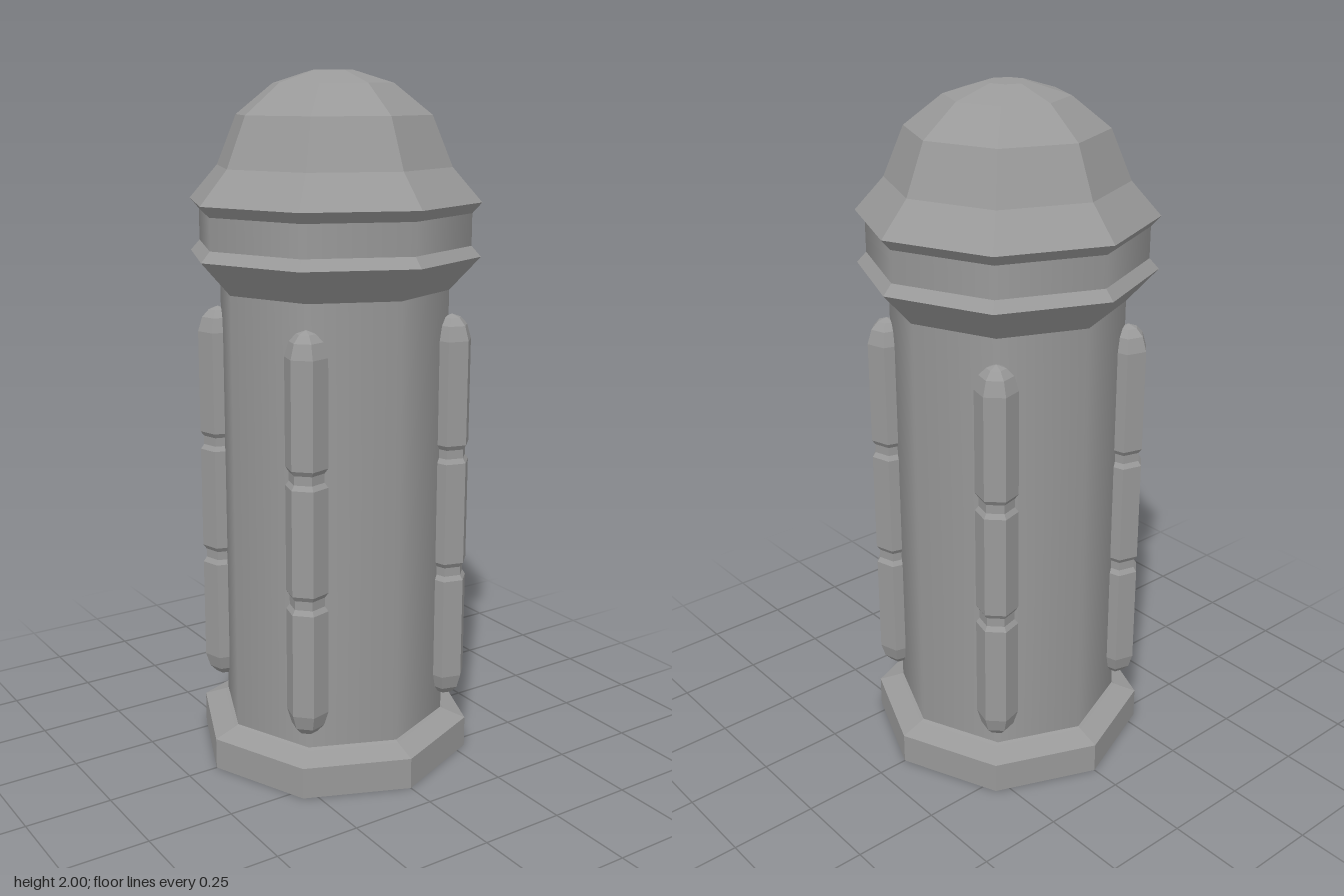
import * as THREE from 'three';

const SIDES = 8;
const GREY = 0x999999;
const flat = new THREE.MeshStandardMaterial({ color: GREY, flatShading: true, side: THREE.DoubleSide });
const smooth = new THREE.MeshStandardMaterial({ color: GREY, side: THREE.DoubleSide });

// Faceted turned part from [radius, height] pairs, bottom to top
function turned(name, profile, sides = SIDES) {
  const points = profile.map(([r, y]) => new THREE.Vector2(r, y));
  const mesh = new THREE.Mesh(new THREE.LatheGeometry(points, sides), flat);
  mesh.name = name;
  return mesh;
}

// Softly shaded open tube between two heights
function tube(name, radius, bottom, top) {
  const mesh = new THREE.Mesh(new THREE.CylinderGeometry(radius, radius, top - bottom, SIDES, 1, true), smooth);
  mesh.name = name;
  mesh.position.y = (bottom + top) / 2;
  return mesh;
}

export function createModel() {
  const model = new THREE.Group();
  model.name = 'bollard';

  // Open-bottomed foot with a sloped shoulder, and the hollow shaft
  model.add(turned('base', [[0.41, 0], [0.41, 0.092], [0.345, 0.115], [0.335, 0.12]]));
  model.add(tube('column', 0.335, 0.12, 1.4));

  // Flared collar with a recessed band
  model.add(turned('collar', [[0.335, 1.4], [0.422, 1.495], [0.395, 1.525]]));
  model.add(tube('band', 0.395, 1.525, 1.615));

  // Faceted cap with its overhanging rim
  model.add(turned('dome', [[0.395, 1.615], [0.422, 1.645], [0.338, 1.74], [0.28, 1.88],
    [0.172, 1.965], [0.058, 2], [0, 2]]));

  // Four notched six-sided ribs sunk halfway into the shaft, a flat side facing out
  const half = [[0, 1.333], [0.027, 1.323], [0.047, 1.302], [0.06, 1.26],
    [0.06, 0.957], [0.05, 0.943], [0.05, 0.917], [0.06, 0.903]];
  const ribProfile = [...half.map(([r, y]) => [r, 1.503 - y]), ...half.slice().reverse()];
  for (let i = 0; i < 4; i++) {
    const angle = Math.PI / 4 + i * Math.PI / 2;
    const rib = turned('rib', ribProfile, 6);
    rib.position.set(Math.sin(angle) * 0.345, 0, Math.cos(angle) * 0.345);
    rib.rotation.y = angle + Math.PI / 6;
    model.add(rib);
  }
  return model;
}
